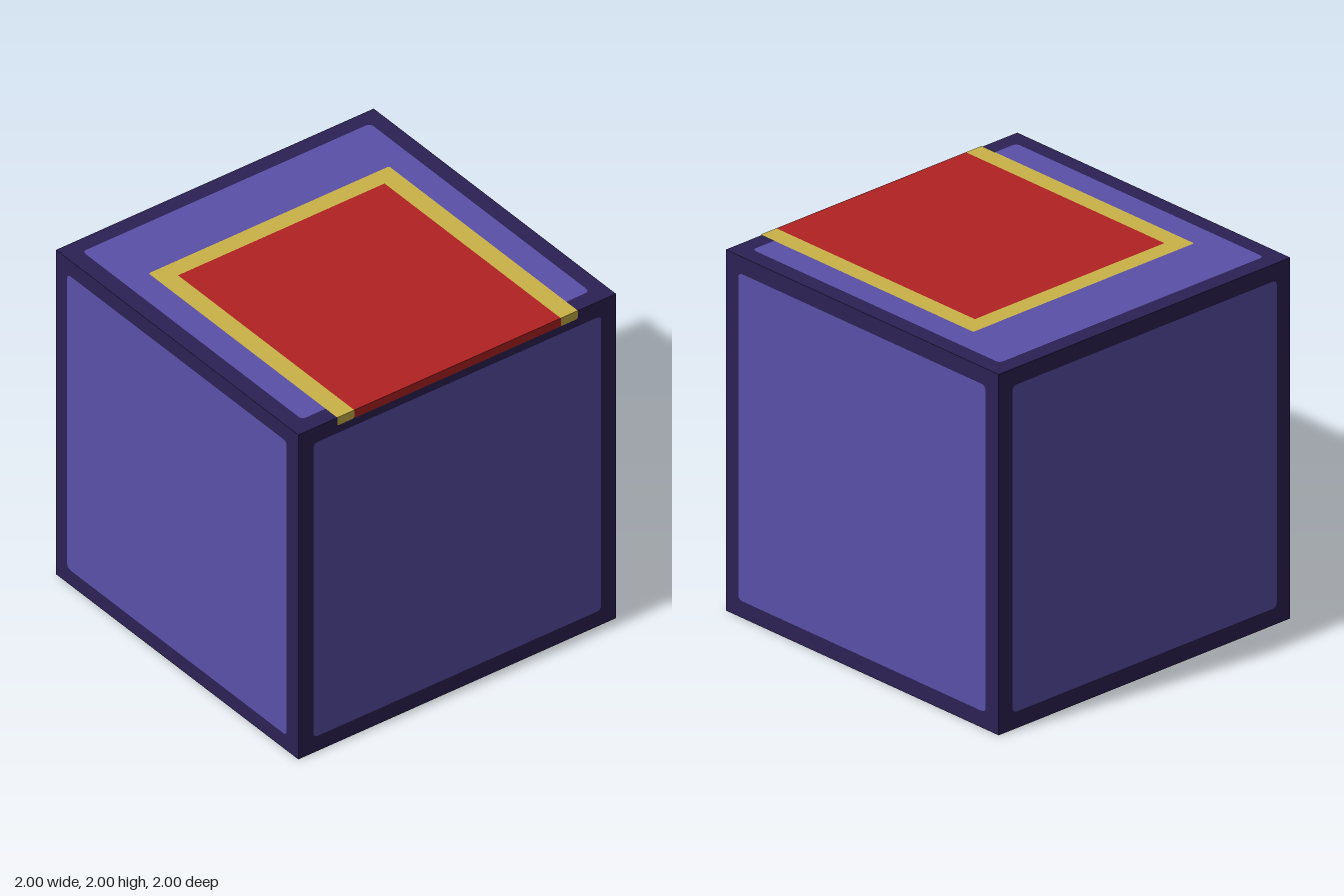
import * as THREE from 'three';

const paint = (name, color) => {
  const m = new THREE.MeshStandardMaterial({ color });
  m.name = name;
  return m;
};

// Rectangle outline with a separate radius for the upper and lower corners
function roundedRect(x0, y0, x1, y1, rTop, rBottom) {
  const s = new THREE.Shape();
  s.moveTo(x0 + rBottom, y0);
  s.lineTo(x1 - rBottom, y0);
  if (rBottom) s.quadraticCurveTo(x1, y0, x1, y0 + rBottom);
  s.lineTo(x1, y1 - rTop);
  if (rTop) s.quadraticCurveTo(x1, y1, x1 - rTop, y1);
  s.lineTo(x0 + rTop, y1);
  if (rTop) s.quadraticCurveTo(x0, y1, x0, y1 - rTop);
  s.lineTo(x0, y0 + rBottom);
  if (rBottom) s.quadraticCurveTo(x0, y0, x0 + rBottom, y0);
  return s;
}

export function createModel() {
  const model = new THREE.Group();
  model.name = 'carpetedCube';
  const frame = paint('dark purple', 0x2c2154);
  const panel = paint('purple', 0x5a50a9);
  const gold = paint('gold', 0xc9b347);
  const red = paint('red', 0xb22222);

  // Flat face lying at a distance from the cube centre, turned by rx and ry
  const addFace = (name, shape, material, distance, rx = 0, ry = 0) => {
    const g = new THREE.ShapeGeometry(shape, 6);
    g.translate(0, 0, distance).rotateX(rx).rotateY(ry).translate(0, 1, 0);
    const mesh = new THREE.Mesh(g, material);
    mesh.name = name;
    model.add(mesh);
  };

  // Cube body, whose rim shows around every panel
  const body = new THREE.Mesh(new THREE.BoxGeometry(1.993, 1.993, 1.993), frame);
  body.name = 'cubeFrame';
  body.position.y = 1;
  model.add(body);

  // Inset coloured panel on each of the six sides
  const q = Math.PI / 2;
  const sides = { front: [0, 0], left: [0, q], back: [0, 2 * q], right: [0, -q], top: [-q, 0], bottom: [q, 0] };
  for (const [side, [rx, ry]] of Object.entries(sides)) {
    addFace(side + 'Panel', roundedRect(-0.903, -0.903, 0.903, 0.903, 0.03, 0.03), panel, 0.9985, rx, ry);
  }

  // Carpet on top: gold border on three sides, red field reaching the front edge
  const border = new THREE.Shape([
    [-0.755, -1], [-0.648, -1], [-0.648, 0.45], [0.648, 0.45], [0.648, -1], [0.755, -1],
    [0.755, 0.545], [0.747, 0.553], [-0.747, 0.553], [-0.755, 0.545],
  ].map(([x, y]) => new THREE.Vector2(x, y)));
  addFace('carpetBorder', border, gold, 1, -q);
  addFace('carpetField', roundedRect(-0.648, -1, 0.648, 0.45, 0, 0), red, 1, -q);

  // Carpet edge folded over the front
  addFace('carpetFieldFold', roundedRect(-0.648, 0.95, 0.648, 1, 0, 0), red, 1);
  for (const x of [-0.7015, 0.7015]) {
    addFace('carpetBorderFold', roundedRect(x - 0.0535, 0.95, x + 0.0535, 1, 0, 0.01), gold, 1);
  }
  return model;
}
